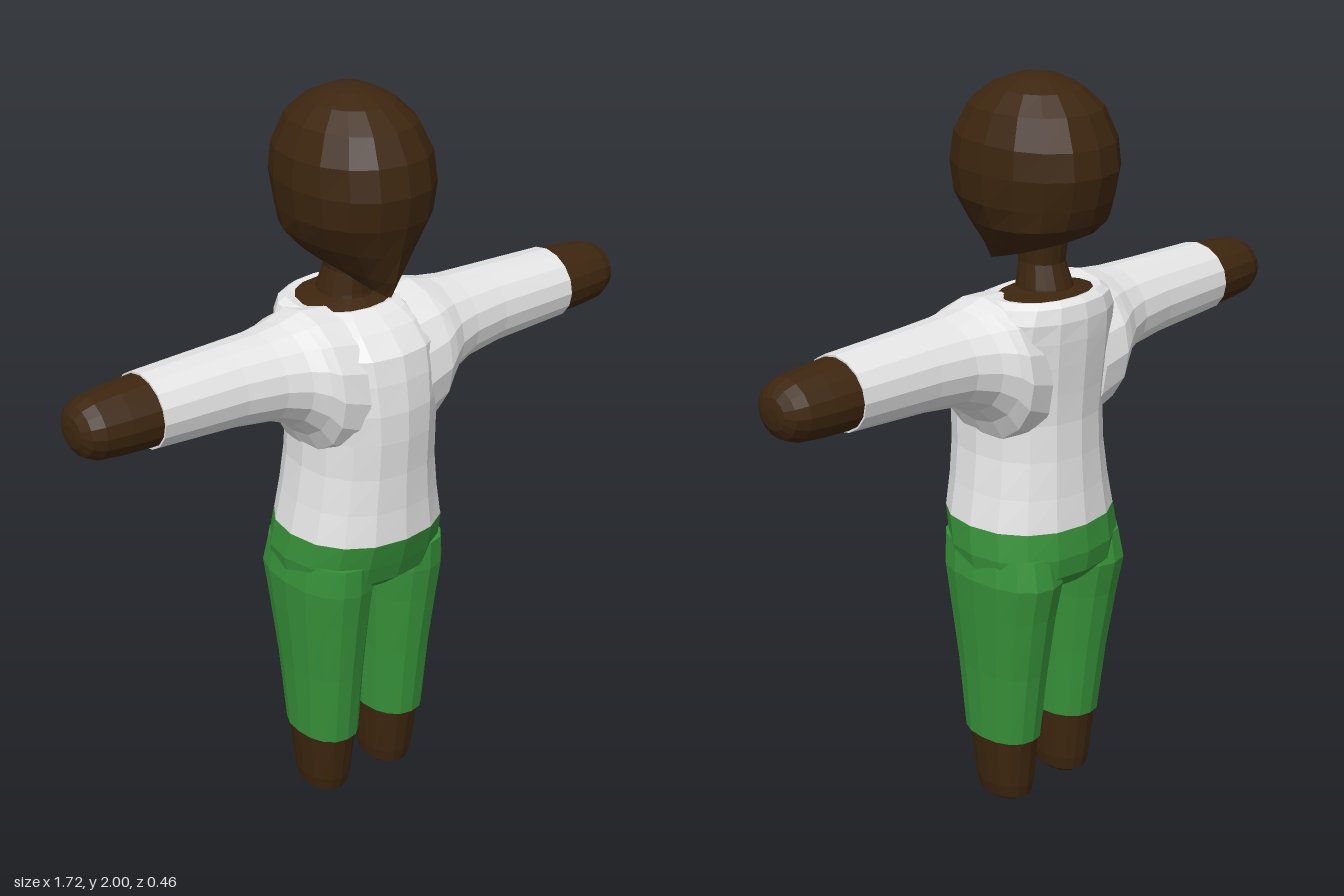
import * as THREE from 'three';

const skin = new THREE.MeshStandardMaterial({ color: 0x3d260f });
skin.name = 'brown skin';
const white = new THREE.MeshStandardMaterial({ color: 0xe6e6e6 });
white.name = 'white cloth';
const green = new THREE.MeshStandardMaterial({ color: 0x37923a });
green.name = 'green cloth';

const SIDES = 16;
const bend = (v, p) => Math.sign(v) * Math.abs(v) ** p;

// Joins rings of points into a faceted, closed skin
function loft(rings) {
  const pos = [], put = (...pts) => pts.forEach(p => pos.push(...p));
  for (let i = 0; i < rings.length - 1; i++) {
    for (let j = 0; j < SIDES; j++) {
      const k = (j + 1) % SIDES, a = rings[i], b = rings[i + 1];
      put(a[j], a[k], b[k], a[j], b[k], b[j]);
    }
  }
  const middle = r => [0, 1, 2].map(c => r.reduce((s, p) => s + p[c], 0) / SIDES);
  const first = rings[0], last = rings[rings.length - 1];
  for (let j = 0; j < SIDES; j++) {
    const k = (j + 1) % SIDES;
    put(middle(first), first[k], first[j], middle(last), last[j], last[k]);
  }
  const g = new THREE.BufferGeometry();
  g.setAttribute('position', new THREE.Float32BufferAttribute(pos, 3));
  g.computeVertexNormals();
  return g;
}

// Upright ring: half width, front z and y, back z and y, centre x, narrowing to the front
function level(hw, zf, yf, zb, yb = yf, cx = 0, taper = 0, p = 0.9) {
  return Array.from({ length: SIDES }, (_, j) => {
    const a = j / SIDES * Math.PI * 2, c = bend(Math.cos(a), p), s = bend(Math.sin(a), p);
    return [cx + hw * s * (1 - taper * c), (yf + yb) / 2 + (yf - yb) / 2 * c, (zf + zb) / 2 + (zf - zb) / 2 * c];
  });
}

// Sideways ring: x, low y, high y, back z, front z
function slice([x, y0, y1, z0, z1]) {
  return Array.from({ length: SIDES }, (_, j) => {
    const a = j / SIDES * Math.PI * 2;
    return [x, (y0 + y1) / 2 + (y1 - y0) / 2 * Math.cos(a), (z0 + z1) / 2 + (z1 - z0) / 2 * Math.sin(a)];
  });
}

export function createModel() {
  const model = new THREE.Group();
  model.name = 'figure';
  const add = (name, rings, material) => {
    const m = new THREE.Mesh(loft(rings), material);
    m.name = name;
    model.add(m);
  };

  // Head: the lowest rings tilt down towards the chin
  add('head', [
    level(0.055, 0.157, 1.487, -0.1, 1.575, 0, 0.5, 1),
    level(0.105, 0.175, 1.53, -0.165, 1.605, 0, 0.45, 1),
    level(0.152, 0.195, 1.61, -0.195, 1.64, 0, 0.2),
    level(0.178, 0.218, 1.69, -0.215, 1.69),
    level(0.187, 0.23, 1.77, -0.232, 1.77),
    level(0.181, 0.215, 1.85, -0.222, 1.84),
    level(0.15, 0.175, 1.92, -0.185, 1.92),
    level(0.105, 0.115, 1.966, -0.13, 1.966),
    level(0.055, 0.05, 1.992, -0.07, 1.992),
    level(0.02, 0.01, 2, -0.03, 2),
  ], skin);

  // Neck and the skin inside the collar
  add('neck', [
    level(0.075, 0.05, 1.42, -0.12),
    level(0.068, 0.04, 1.46, -0.11),
    level(0.055, 0.035, 1.52, -0.088),
    level(0.06, 0.05, 1.6, -0.1),
  ], skin);
  add('collarSkin', [
    level(0.13, 0.07, 1.40, -0.145, 1.42),
    level(0.13, 0.07, 1.434, -0.145, 1.449),
    level(0.075, 0.04, 1.452, -0.115, 1.456),
  ], skin);

  // Shirt body
  add('shirt', [
    level(0.221, 0.23, 0.83, -0.19),
    level(0.203, 0.226, 0.92, -0.18),
    level(0.188, 0.227, 1.02, -0.173),
    level(0.185, 0.233, 1.12, -0.171),
    level(0.192, 0.233, 1.2, -0.176),
    level(0.2, 0.222, 1.28, -0.183),
    level(0.204, 0.207, 1.345, -0.188),
    level(0.2, 0.155, 1.398, -0.189),
    level(0.18, 0.115, 1.423, -0.18, 1.438),
    level(0.155, 0.085, 1.437, -0.162, 1.452),
    level(0.13, 0.07, 1.432, -0.145, 1.447),
  ], white);

  // Sleeves flaring into the shoulders, and mitten hands
  const sleeve = [
    [0.1, 1.03, 1.445, -0.165, 0.205], [0.175, 1.07, 1.45, -0.172, 0.198],
    [0.205, 1.125, 1.442, -0.158, 0.184], [0.245, 1.165, 1.432, -0.134, 0.16],
    [0.31, 1.193, 1.425, -0.113, 0.143], [0.42, 1.207, 1.422, -0.102, 0.13],
    [0.66, 1.22, 1.415, -0.092, 0.124],
  ];
  const hand = [
    [0.655, 1.225, 1.41, -0.088, 0.119], [0.74, 1.229, 1.405, -0.082, 0.113],
    [0.81, 1.236, 1.397, -0.072, 0.104], [0.842, 1.252, 1.383, -0.056, 0.088],
    [0.858, 1.277, 1.36, -0.03, 0.06], [0.862, 1.3, 1.335, -0.01, 0.035],
  ];
  const mirrored = list => list.map(([x, ...rest]) => [-x, ...rest]).reverse();
  add('leftSleeve', sleeve.map(slice), white);
  add('rightSleeve', mirrored(sleeve).map(slice), white);
  add('leftHand', hand.map(slice), skin);
  add('rightHand', mirrored(hand).map(slice), skin);

  // Trouser seat
  add('trouserSeat', [
    level(0.09, 0.075, 0.625, -0.09),
    level(0.17, 0.135, 0.655, -0.15),
    level(0.222, 0.192, 0.7, -0.193),
    level(0.231, 0.21, 0.755, -0.2),
    level(0.222, 0.231, 0.83, -0.191),
  ], green);

  // Trouser legs and feet
  for (const [side, s] of [['left', 1], ['right', -1]]) {
    add(side + 'TrouserLeg', [
      level(0.082, 0.124, 0.195, -0.106, 0.195, s * 0.113),
      level(0.091, 0.147, 0.4, -0.134, 0.4, s * 0.115),
      level(0.104, 0.172, 0.58, -0.165, 0.58, s * 0.118),
      level(0.112, 0.188, 0.68, -0.187, 0.68, s * 0.118),
      level(0.1, 0.19, 0.76, -0.17, 0.76, s * 0.118),
    ], green);
    add(side + 'Foot', [
      level(0.045, 0.062, 0, -0.058, 0, s * 0.108),
      level(0.058, 0.082, 0.012, -0.075, 0.012, s * 0.109),
      level(0.066, 0.092, 0.05, -0.083, 0.05, s * 0.11),
      level(0.076, 0.114, 0.2, -0.1, 0.2, s * 0.112),
    ], skin);
  }
  return model;
}
